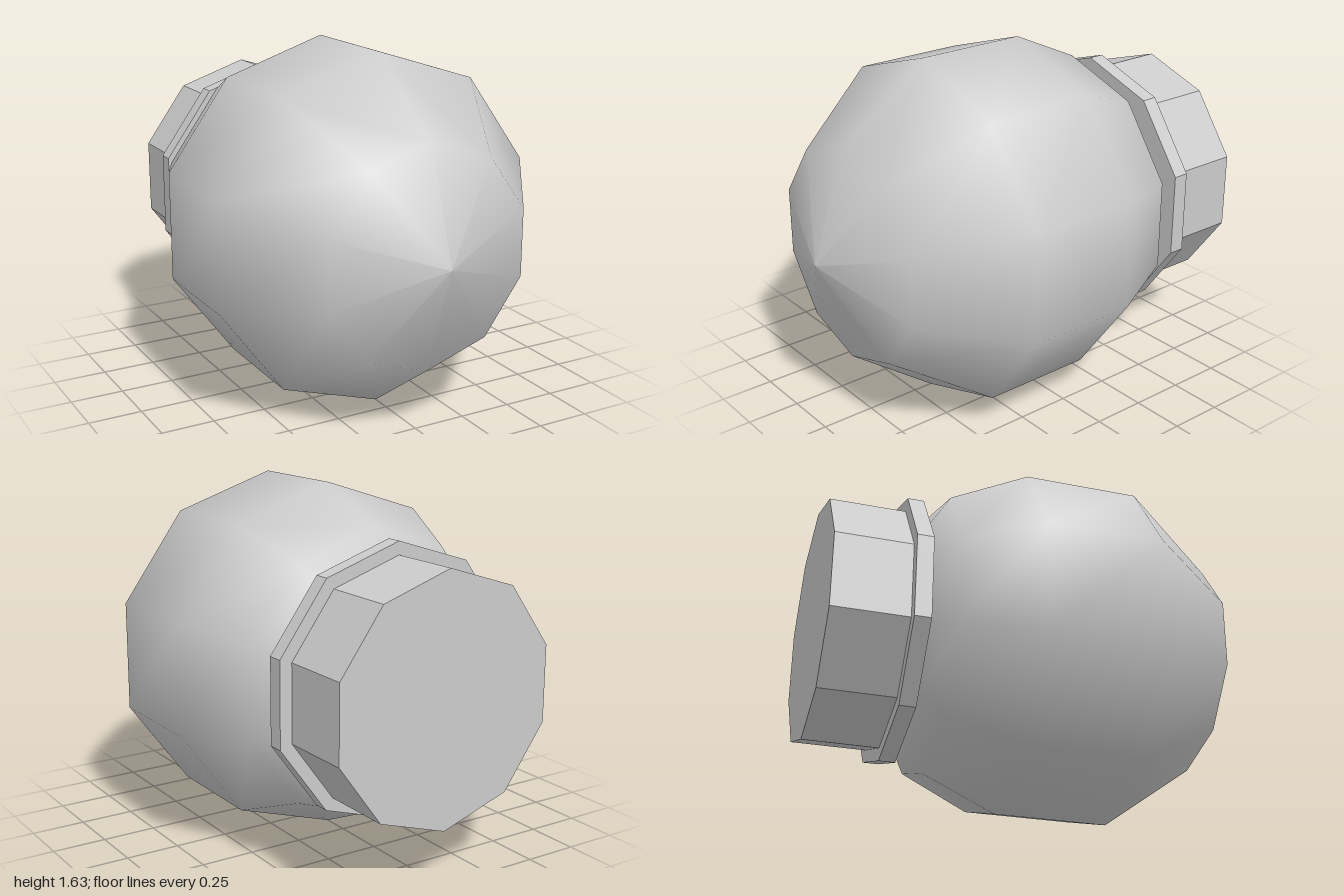
import * as THREE from 'three';

const SIDES = 10;
const CENTRE_Y = 0.815;

export function createModel() {
  const group = new THREE.Group();
  const smooth = new THREE.MeshStandardMaterial({ color: 0xcccccc });
  const flat = new THREE.MeshStandardMaterial({ color: 0xcccccc, flatShading: true });

  const add = (name, geometry, material, z = 0) => {
    geometry.rotateX(Math.PI / 2); // turn the axis from y to z
    const mesh = new THREE.Mesh(geometry, material);
    mesh.name = name;
    mesh.position.set(0, CENTRE_Y, z);
    group.add(mesh);
  };

  // Round bulb, tapering into a neck at the back: [radius, z]
  const profile = [
    [0.42, -0.61], [0.455, -0.58], [0.505, -0.55], [0.66, -0.46],
    [0.815, -0.122], [0.815, 0.408], [0.504, 0.836], [0, 1],
  ].map(([r, z]) => new THREE.Vector2(r, z));
  add('bulb', new THREE.LatheGeometry(profile, SIDES), smooth);

  // Ten-sided collar and cap behind the bulb
  const disc = (name, radius, front, back) =>
    add(name, new THREE.CylinderGeometry(radius, radius, front - back, SIDES), flat, (front + back) / 2);
  disc('collar', 0.625, -0.58, -0.655);
  disc('cap', 0.565, -0.655, -1);

  return group;
}
